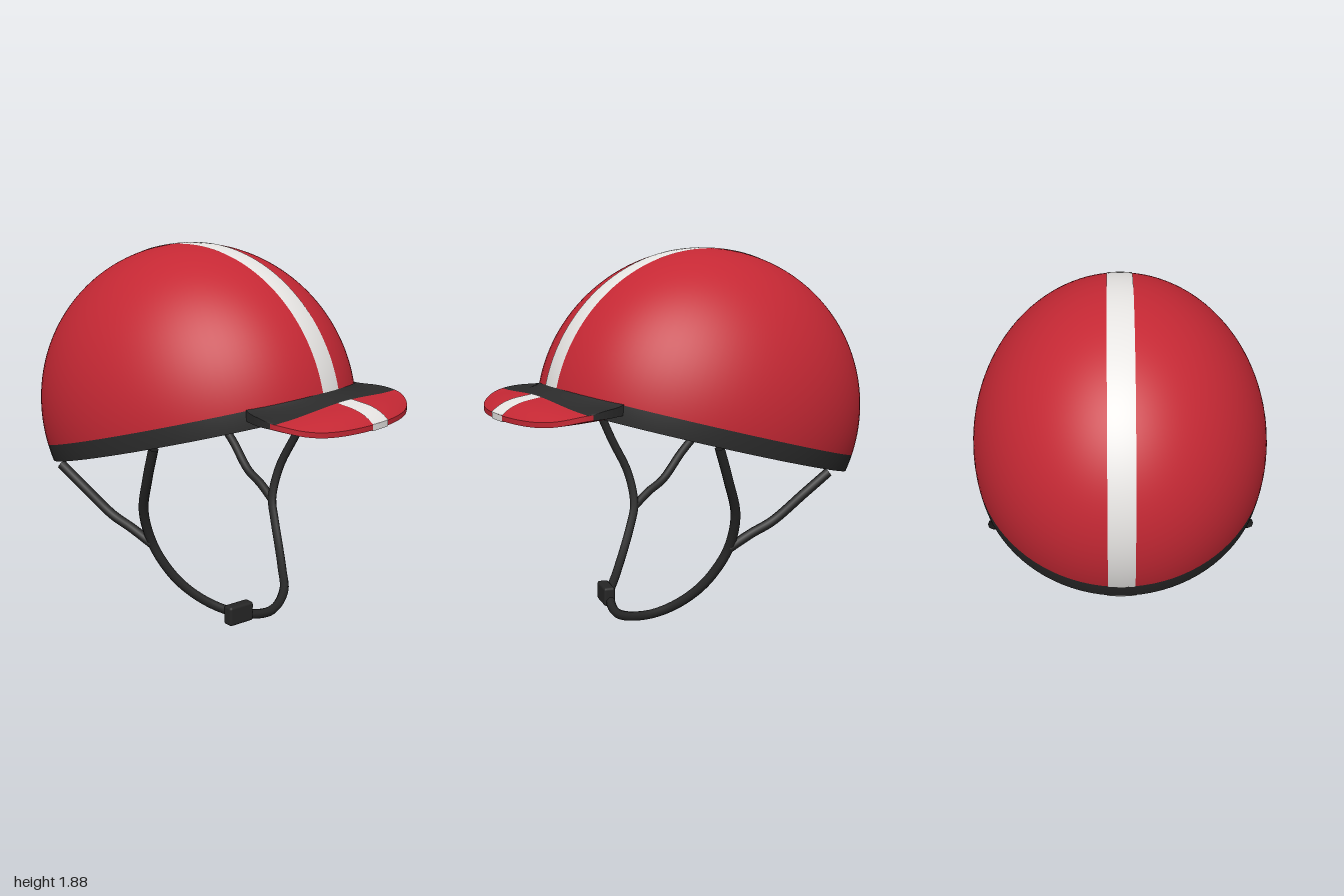
import * as THREE from 'three';
import { ParametricGeometry } from 'three/addons/geometries/ParametricGeometry.js';
import { RoundedBoxGeometry } from 'three/addons/geometries/RoundedBoxGeometry.js';

const material = (name, color) => {
  const m = new THREE.MeshStandardMaterial({ color, side: THREE.DoubleSide });
  m.name = name;
  return m;
};

// The shell is an ellipsoid cut by a plane that drops towards the back.
const CENTER = new THREE.Vector3(0, 1.05, -0.13);
const OUTER = new THREE.Vector3(0.73, 0.827, 0.87);
const INNER = new THREE.Vector3(0.597, 0.695, 0.738);
const TILT = -0.283;
const BAND_TOP = Math.acos(-0.066);
const BAND_BOTTOM = Math.acos(-0.172);
const INNER_BOTTOM = Math.acos(-0.205);
const STRIPE = 0.063;
const X_AXIS = new THREE.Vector3(1, 0, 0);
const { lerp } = THREE.MathUtils;

const cap = (radii, start, end, rows) =>
  new THREE.SphereGeometry(1, 96, rows, 0, Math.PI * 2, start, end - start)
    .rotateX(TILT)
    .scale(radii.x, radii.y, radii.z)
    .translate(CENTER.x, CENTER.y, CENTER.z);

const onShell = (unit, radii) => unit.applyAxisAngle(X_AXIS, TILT).multiply(radii).add(CENTER);

// Flat underside of the rim, between the outer and inner shells
function rimGeometry(phi0, phi1, slices, drop) {
  const a = new THREE.Vector3(), b = new THREE.Vector3();
  return new ParametricGeometry((u, v, target) => {
    const phi = lerp(phi0, phi1, u);
    onShell(a.setFromSphericalCoords(1, BAND_BOTTOM, phi), OUTER);
    onShell(b.setFromSphericalCoords(1, INNER_BOTTOM, phi), INNER);
    target.lerpVectors(a, b, v);
    target.y -= drop;
  }, slices, 2);
}

// Stripe running over the dome from front to back
function domeStripeGeometry() {
  const radii = OUTER.clone().multiplyScalar(1.003);
  return new ParametricGeometry((u, v, target) => {
    const t = lerp(-BAND_TOP, BAND_TOP, v);
    const x = lerp(-STRIPE, STRIPE, u) / OUTER.x;
    const r = Math.sqrt(1 - x * x);
    onShell(target.set(x, r * Math.cos(t), r * Math.sin(t)), radii);
  }, 4, 80);
}

// Visor: a sweeps from side to side, k runs from the dome (0) to the lip (1)
const planeY = (offset, slope, z) => CENTER.y + OUTER.y * (offset + slope * (z - CENTER.z) / OUTER.z);
const lipZ = (a) => 0.74 + 0.26 * Math.cos(a);

// The underside (top = 0) reaches a little further back, below the rim
function visorRoot(a, top) {
  const s = Math.sin(a), x = 0.43 * s;
  const reach = 0.06 * (1 - top) * (1 - s ** 4);
  return { x, z: -0.15 - reach + 0.87 * Math.sqrt(0.979 - (x / 0.73) ** 2) };
}

function visorPoint(a, k, top, lift, target) {
  const s = Math.sin(a), root = visorRoot(a, top), corner = s ** 4;
  const x = lerp(root.x, 0.5 * s, Math.sin(k * Math.PI / 2));
  const z = lerp(root.z, lipZ(a), k);
  const lipY = 1.117 + 0.045 * s ** 6;
  const rise = 0.45 * (1 - k) ** 6 + 0.55 * (1 - k ** 4);
  const rootTop = planeY(-0.069, 0.293, root.z) + 0.01;
  const rootBottom = lerp(planeY(-0.18, 0.29, root.z), rootTop - 0.055, corner);
  const topY = lerp(lipY, rootTop, rise);
  const bottomY = lerp(rootBottom, lipY - 0.025, k);
  return target.set(x, lerp(bottomY - lift, topY + lift, top), z + lift * k);
}

// Position along k where the dark root changes to the coloured lip
function visorSplit(a, top) {
  const root = visorRoot(a, top).z;
  const z = (top ? 0.795 : 0.69) - (top ? 0.025 : 0.06) * Math.sin(a) ** 2;
  return THREE.MathUtils.clamp((z - root) / (lipZ(a) - root), 0, 1);
}

const visorSheet = (halfAngle, top, isLip, lift = 0, slices = 48) =>
  new ParametricGeometry((u, v, target) => {
    const a = lerp(-halfAngle, halfAngle, u), split = visorSplit(a, top);
    visorPoint(a, isLip ? lerp(split, 1, v) : split * v, top, lift, target);
  }, slices, 16);

const visorFront = (halfAngle, lift = 0) =>
  new ParametricGeometry((u, v, target) =>
    visorPoint(lerp(-halfAngle, halfAngle, u), 1, v, lift, target), 48, 1);

const visorSide = (side) =>
  new ParametricGeometry((u, v, target) =>
    visorPoint(side * Math.PI / 2, u, v, 0, target), 14, 1);

const strapGeometry = (points, segments) =>
  new THREE.TubeGeometry(
    new THREE.CatmullRomCurve3(points.map((p) => new THREE.Vector3(...p))), segments, 0.024, 8);

export function createModel() {
  const red = material('shell red', 0xc52834);
  const white = material('stripe white', 0xe8e6e4);
  const dark = material('trim charcoal', 0x2b2b2b);
  const strap = material('strap black', 0x262626);

  const model = new THREE.Group();
  model.name = 'helmet';
  const add = (name, geometry, mat, parent = model) => {
    const mesh = new THREE.Mesh(geometry, mat);
    mesh.name = name;
    parent.add(mesh);
    return mesh;
  };

  // Shell, trim and lining
  add('dome', cap(OUTER, 0, BAND_TOP, 48), red);
  add('rimBand', cap(OUTER, BAND_TOP, BAND_BOTTOM, 3), dark);
  add('rimUnderside', rimGeometry(0, Math.PI * 2, 96, 0), dark);
  add('lining', cap(INNER, 0, INNER_BOTTOM, 32), dark);
  add('domeStripe', domeStripeGeometry(), white);
  add('rearRimStripe', rimGeometry(Math.PI - 0.095, Math.PI + 0.095, 4, 0.004), white);

  // Visor
  const visor = new THREE.Group();
  visor.name = 'visor';
  model.add(visor);
  const half = Math.PI / 2, stripeHalf = Math.asin(STRIPE / 0.49);
  for (const top of [0, 1]) {
    const face = top ? 'Top' : 'Underside';
    add('visorRoot' + face, visorSheet(half, top, false), dark, visor);
    add('visorLip' + face, visorSheet(half, top, true), red, visor);
    add('visorStripe' + face, visorSheet(stripeHalf, top, true, 0.003, 4), white, visor);
  }
  add('visorFrontEdge', visorFront(half), red, visor);
  add('visorStripeEdge', visorFront(stripeHalf, 0.003), white, visor);
  for (const side of [-1, 1]) add('visorSideEdge', visorSide(side), dark, visor);

  // Chin strap, from one side of the rim to the other
  const halfStrap = [
    [0.625, 0.975, 0.15], [0.6, 0.81, 0.085], [0.55, 0.62, 0.01], [0.49, 0.45, 0.005],
    [0.455, 0.34, 0.05], [0.4, 0.23, 0.12], [0.31, 0.13, 0.215], [0.2, 0.065, 0.31],
  ];
  const mirrored = halfStrap.map(([x, y, z]) => [-x, y, z]).reverse();
  add('chinStrap', strapGeometry([...halfStrap, [0, 0.025, 0.37], ...mirrored], 110), strap);

  // Rear straps joining the chin strap
  for (const s of [-1, 1]) {
    add('rearStrap', strapGeometry([
      [s * 0.625, 0.79, -0.485], [s * 0.595, 0.69, -0.36], [s * 0.545, 0.56, -0.21],
      [s * 0.52, 0.505, -0.1], [s * 0.49, 0.44, 0.005],
    ], 30), strap);
  }

  // Buckle
  const buckle = add('buckle', new RoundedBoxGeometry(0.15, 0.1, 0.06, 2, 0.014), strap);
  buckle.position.set(-0.205, 0.07, 0.33);
  buckle.rotation.y = -0.2;

  return model;
}
